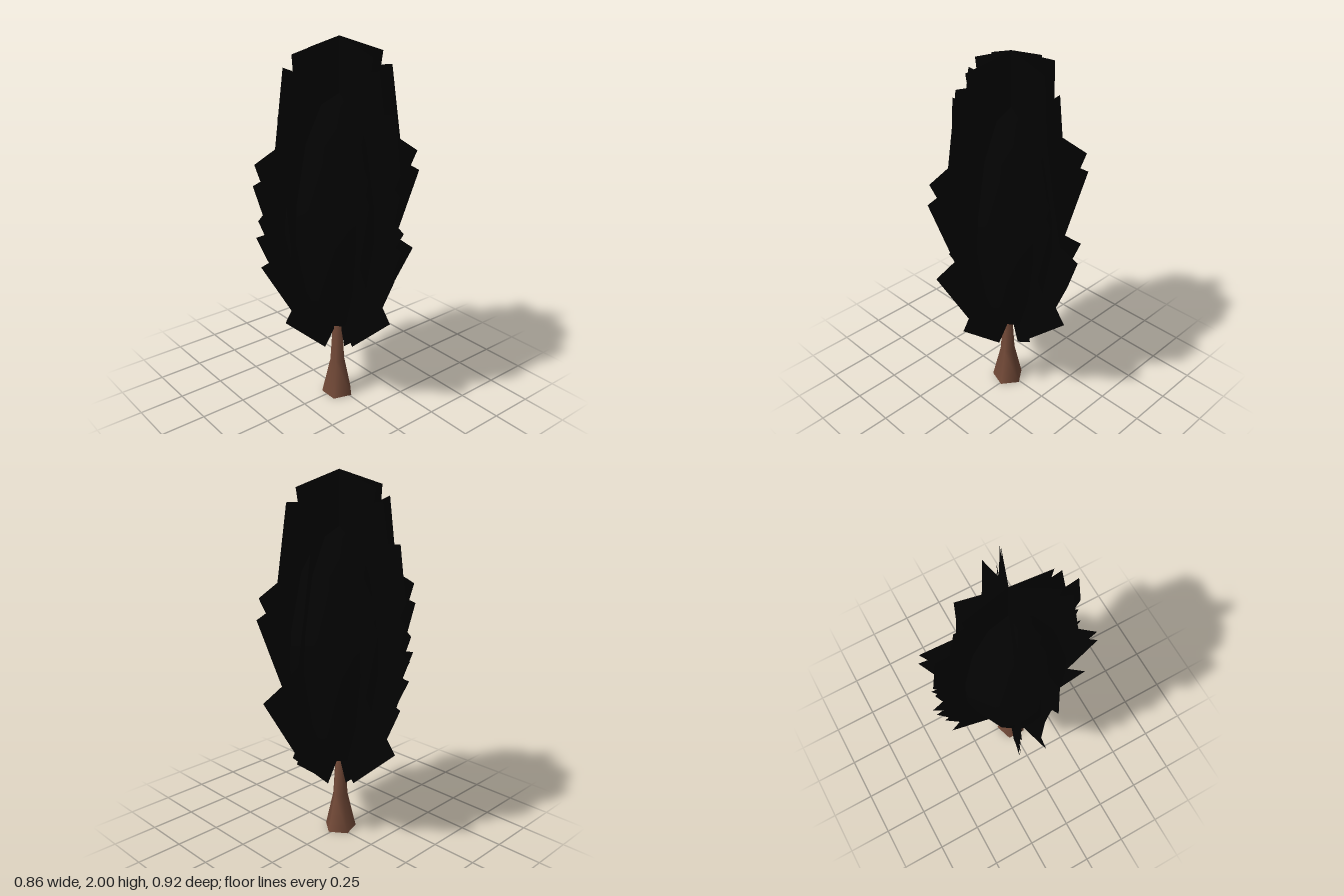
import * as THREE from 'three';
import { mergeVertices } from 'three/addons/utils/BufferGeometryUtils.js';

const DEG = Math.PI / 180;

// Jagged half outlines of the foliage cards, top to bottom: [distance from axis, height]
const SIDE_RIGHT = [[0.2, 1.92], [0.22, 1.6], [0.27, 1.3], [0.32, 1.05], [0.435, 1.0], [0.38, 0.83],
  [0.31, 0.66], [0.37, 0.575], [0.095, 0.32]];
const SIDE_LEFT = [[0.23, 1.92], [0.22, 1.85], [0.275, 1.86], [0.31, 1.66], [0.396, 1.67], [0.42, 1.37],
  [0.37, 1.3], [0.34, 1.0], [0.33, 0.65], [0.387, 0.575], [0.11, 0.32]];
const DEPTH = [[0.23, 1.92], [0.22, 1.85], [0.275, 1.86], [0.31, 1.66], [0.385, 1.67], [0.425, 1.39], [0.39, 1.31],
  [0.425, 1.28], [0.395, 1.14], [0.46, 1.1], [0.405, 1.01], [0.445, 1.0], [0.385, 0.84], [0.41, 0.83],
  [0.33, 0.65], [0.385, 0.575], [0.105, 0.32]];
const TWO_TIER = [[0.435, 1.39], [0.4, 1.31], [0.45, 1.28], [0.325, 0.91], [0.43, 0.83], [0.24, 0.48],
  [0.25, 0.45], [0.09, 0.33]];
const BROAD_TOP = [[0.23, 1.92], [0.22, 1.85], [0.28, 1.85], [0.335, 1.46]];
const NARROW_TOP = [[0.23, 1.92], [0.232, 1.74], [0.245, 1.54]];
const SLANT_LEFT = [[0.24, 1.92], [0.235, 1.84], [0.285, 1.86], [0.335, 1.46], [0.443, 1.39], [0.415, 1.3],
  [0.455, 1.28], [0.41, 1.12], [0.435, 1.09], [0.405, 1.01], [0.45, 1.0], [0.388, 0.85], [0.43, 0.83],
  [0.245, 0.5], [0.26, 0.46], [0.08, 0.32]];

// Vertical sheet through the axis with its own outline on each side
function foliageCard(right, left) {
  const outline = [[0, 2], ...right, [0, 0.46], ...left.map(([x, y]) => [-x, y]).reverse()];
  return new THREE.ShapeGeometry(new THREE.Shape(outline.map(([x, y]) => new THREE.Vector2(x, y))));
}

// Closed egg-shaped core whose rings follow an uneven nine-cornered section
function foliageCore() {
  const corners = [[0.255, 0.13], [0.07, 0.26], [-0.15, 0.26], [-0.3, 0.105], [-0.305, -0.055],
    [-0.23, -0.18], [-0.055, -0.27], [0.135, -0.245], [0.28, -0.1]];
  const rings = [[0, 0.47], [0.42, 0.475], [0.8, 0.71], [1, 1.0], [0.97, 1.2], [0.75, 1.5], [0.4, 1.68], [0, 1.72]];
  const lathe = new THREE.LatheGeometry(rings.map(([r, y]) => new THREE.Vector2(r, y)), corners.length);
  const pos = lathe.attributes.position;
  for (let i = 0; i < pos.count; i++) {
    // step round backwards from +z towards +x, matching the lathe's winding
    const side = Math.floor(i / rings.length) % corners.length;
    const [cx, cz] = corners[corners.length - 1 - side];
    const [scale, y] = rings[i % rings.length];
    pos.setXYZ(i, cx * scale, y, cz * scale);
  }
  lathe.deleteAttribute('normal');
  lathe.deleteAttribute('uv');
  const core = mergeVertices(lathe);
  core.computeVertexNormals();
  return core;
}

export function createModel() {
  const tree = new THREE.Group();
  tree.name = 'tree';
  const bark = new THREE.MeshStandardMaterial({ color: 0x734a38, side: THREE.DoubleSide });
  bark.name = 'brownBark';
  const leaf = new THREE.MeshStandardMaterial({ color: 0x030303, side: THREE.DoubleSide });
  leaf.name = 'darkFoliage';

  const add = (name, geometry, material) => {
    const mesh = new THREE.Mesh(geometry, material);
    mesh.name = name;
    tree.add(mesh);
    return mesh;
  };

  // Five-sided trunk with a flared, open foot
  const trunkProfile = [[0.091, 0], [0.043, 0.21], [0.018, 0.6]].map(([r, y]) => new THREE.Vector2(r, y));
  add('trunk', new THREE.LatheGeometry(trunkProfile, 5, 18 * DEG), bark).position.set(-0.018, 0, 0.01);

  add('foliageCore', foliageCore(), leaf);

  // Cards fanned round the axis: [name, bearing from +x towards +z, right outline, left outline]
  const broad = [...BROAD_TOP, ...TWO_TIER];
  const narrow = [...NARROW_TOP, ...TWO_TIER];
  const cards = [
    ['sideFoliageCard', -5, SIDE_RIGHT, SIDE_LEFT],
    ['slantFoliageCard', 21, broad, SLANT_LEFT],
    ['depthFoliageCard', 86, DEPTH, DEPTH],
    ['crossFoliageCard', 111, broad, narrow],
  ];
  for (const [name, bearing, right, left] of cards) {
    add(name, foliageCard(right, left), leaf).rotation.y = -bearing * DEG;
  }
  return tree;
}
